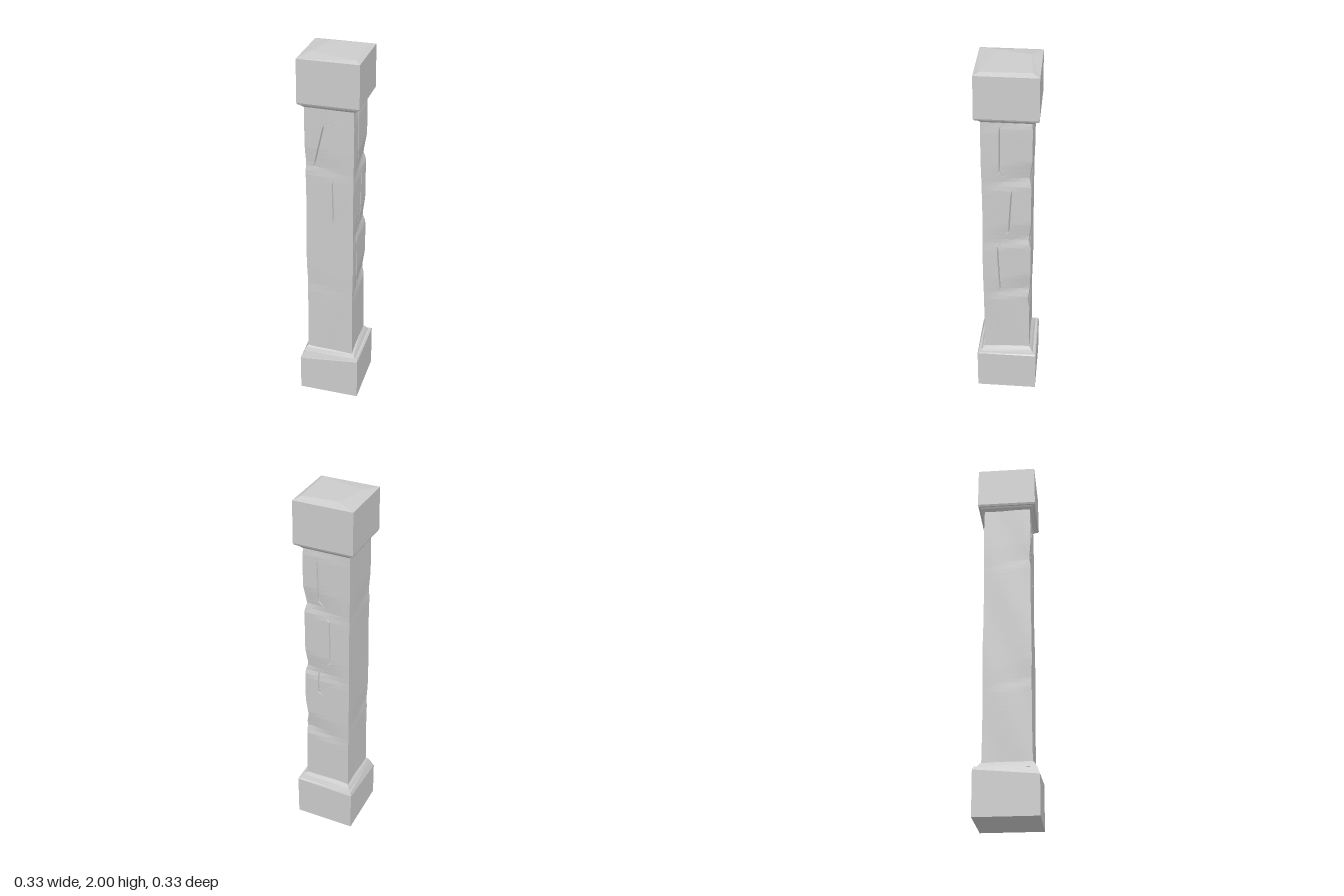
import * as THREE from 'three';

const material = new THREE.MeshStandardMaterial({ color: 0xcccccc, flatShading: true });
const H = 0.128, Y0 = 0.24, Y1 = 1.77;
const { lerp, clamp } = THREE.MathUtils;

// Four-cornered sections stacked upward; each corner is [x, y, z],
// ordered front -x, front +x, back +x, back -x
function loft(name, rings) {
  const pos = [], n = 4;
  const tri = (...pts) => pts.forEach(p => pos.push(...p));
  for (let r = 0; r < rings.length - 1; r++) {
    for (let j = 0; j < n; j++) {
      const k = (j + 1) % n, lo = rings[r], hi = rings[r + 1];
      tri(lo[j], lo[k], hi[k]);
      tri(lo[j], hi[k], hi[j]);
    }
  }
  const b = rings[0], t = rings[rings.length - 1];
  tri(b[0], b[2], b[1]); tri(b[0], b[3], b[2]);
  tri(t[0], t[1], t[2]); tri(t[0], t[2], t[3]);
  const g = new THREE.BufferGeometry();
  g.setAttribute('position', new THREE.Float32BufferAttribute(pos, 3));
  g.computeVertexNormals();
  const mesh = new THREE.Mesh(g, material);
  mesh.name = name;
  return mesh;
}

const square = (h, y, dy = [0, 0, 0, 0]) =>
  [[-h, y + dy[0], h], [h, y + dy[1], h], [h, y + dy[2], -h], [-h, y + dy[3], -h]];

// Per shaft face: seams between stones [height, depth], the side they deepen
// towards, and cracks [bottom y, top y, position at bottom, position at top]
const FACES = {
  front: {
    side: -1, seams: [[0.68, 0.003], [1.4, 0.007]],
    cracks: [[1.4, 1.66, -0.085, -0.025], [1.08, 1.34, 0.022, 0.015]],
  },
  right: {
    side: -1, seams: [[0.68, 0.013], [1.02, 0.013], [1.39, 0.013], [1.73, 0.01]],
    cracks: [[1.43, 1.71, 0.035, 0.035], [1.06, 1.34, -0.01, -0.025], [0.67, 0.99, 0.035, 0.05]],
  },
  back: {
    side: 1, seams: [[0.6, 0.012], [1.0, 0.013], [1.39, 0.013], [1.73, 0.008]],
    cracks: [[1.42, 1.67, 0.045, 0.05], [1.06, 1.36, -0.02, -0.015], [0.87, 1.01, 0.05, 0.05]],
  },
  left: { side: 1, seams: [[0.7, 0.003], [1.4, 0.003]], cracks: [] },
};

// Where the crack column runs on a face at a height, and how deep it is
function crackAt(face, y) {
  for (const [a, b, ua, ub] of face.cracks) {
    if (y >= a && y <= b) {
      const t = (y - a) / (b - a);
      return { u: lerp(ua, ub, t), depth: 0.016 * Math.min(1, 5 * t, 5 * (1 - t)) };
    }
  }
  return { u: 0.01, depth: 0 };
}

// Inward offset of a face from its seams and worn surface
function wear(face, u, y) {
  const s = u / H * face.side;
  let d = 0.0015 + 0.0015 * Math.sin(y * 9 + s * 3);
  for (const [sy, depth] of face.seams) {
    const dy = y - sy - 0.025 * s;
    const reach = dy > 0 ? 0.1 : 0.045;
    d += depth * clamp(0.6 + 0.5 * s, 0.05, 1) * Math.max(0, 1 - Math.abs(dy) / reach);
  }
  return d;
}

// Slides a grid column so that the three middle ones bracket the crack
function column(raw, centre) {
  const i = Math.round((raw / H + 1) * 4);
  if (i === 4) return centre;
  if (i === 3 || i === 5) return centre + (i - 4) * 0.004;
  return i < 3 ? lerp(-H, centre - 0.004, i / 3) : lerp(centre + 0.004, H, (i - 5) / 3);
}

function makeShaft() {
  const g = new THREE.BoxGeometry(2 * H, Y1 - Y0, 2 * H, 8, 60, 8);
  g.translate(0, (Y0 + Y1) / 2, 0);
  const p = g.attributes.position;
  for (let i = 0; i < p.count; i++) {
    const x = p.getX(i), y = p.getY(i), z = p.getZ(i);
    const onX = Math.abs(x) > H - 1e-5, onZ = Math.abs(z) > H - 1e-5;
    let nx = x, nz = z;
    if (onX) {
      const face = x > 0 ? FACES.right : FACES.left, c = crackAt(face, y);
      const u = onZ ? z : column(z, c.u);
      const d = wear(face, u, y) + (Math.abs(z) < 1e-5 ? c.depth : 0);
      nx = x - Math.sign(x) * d;
      if (!onZ) nz = u;
    }
    if (onZ) {
      const face = z > 0 ? FACES.front : FACES.back, c = crackAt(face, y);
      const u = onX ? x : column(x, c.u);
      const d = wear(face, u, y) + (Math.abs(x) < 1e-5 ? c.depth : 0);
      nz = z - Math.sign(z) * d;
      if (!onX) nx = u;
    }
    p.setXYZ(i, nx - 0.002, y, nz + 0.002);
  }
  g.computeVertexNormals();
  const mesh = new THREE.Mesh(g, material);
  mesh.name = 'shaft';
  return mesh;
}

export function createModel() {
  const group = new THREE.Group();
  group.name = 'stonePillar';

  // Square foot with a chipped corner, and the sloped collar above it
  group.add(loft('base', [
    square(0.166, 0),
    square(0.166, 0.245, [-0.04, 0, 0, -0.01]),
    [[-0.145, 0.252, 0.15], [0.162, 0.252, 0.162], [0.158, 0.252, -0.158], [-0.158, 0.252, -0.158]],
  ]));
  group.add(loft('baseCollar', [
    square(0.15, 0.248),
    square(0.139, 0.265, [0.005, 0, 0.004, 0]),
    square(0.122, 0.285, [0.005, -0.012, 0.006, 0]),
  ]));

  group.add(makeShaft());

  // Undercut neck and the cap block with a worn, slightly domed top
  group.add(loft('neck', [square(0.124, 1.728), square(0.142, 1.745), square(0.15, 1.758)]));
  group.add(loft('cap', [
    square(0.154, 1.752),
    square(0.159, 1.762),
    square(0.157, 1.985),
    [[-0.11, 1.999, 0.065], [0.135, 1.996, 0.13], [0.13, 1.998, -0.12], [-0.06, 2, -0.105]],
  ]));
  return group;
}
